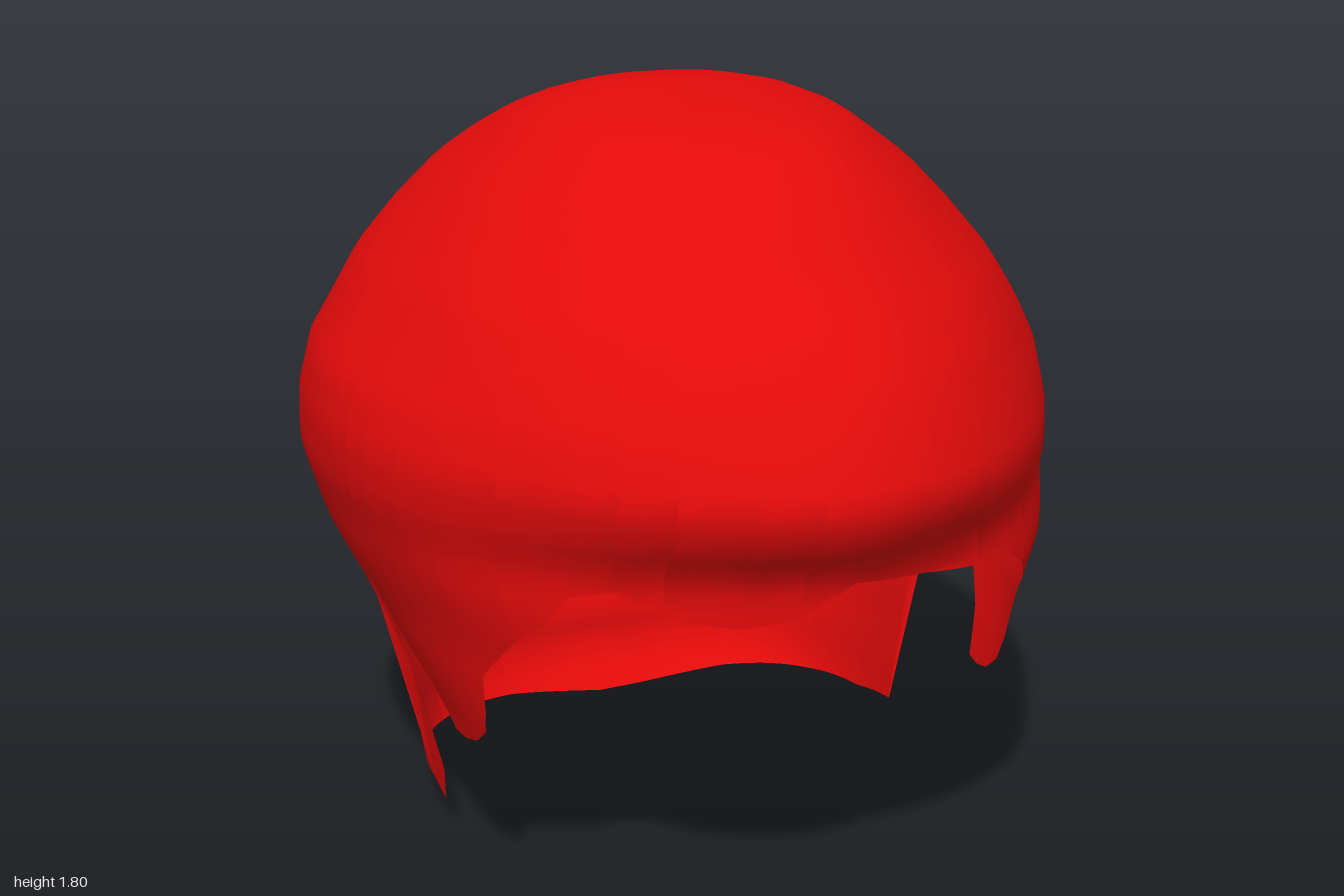
import * as THREE from 'three';
import { mergeVertices } from 'three/addons/utils/BufferGeometryUtils.js';

const CZ = -0.1; // z of the axis all sections are measured from
const { clamp, lerp, smoothstep } = THREE.MathUtils;

// Sections from crown to nape: y, half width, reach forward, reach back, forward roundness, x shift
const SECTIONS = [
  [1.80, 0, 0, 0, 2, -0.02], [1.785, 0.2, 0.14, 0.14, 2, -0.02],
  [1.76, 0.30, 0.38, 0.22, 2, -0.01], [1.72, 0.39, 0.53, 0.34, 2, 0],
  [1.66, 0.47, 0.62, 0.48, 1.95, 0], [1.60, 0.55, 0.69, 0.57, 1.9, 0],
  [1.50, 0.65, 0.79, 0.66, 1.85, 0], [1.40, 0.735, 0.90, 0.74, 1.8, 0],
  [1.30, 0.795, 0.99, 0.795, 1.75, 0], [1.20, 0.85, 1.05, 0.84, 1.72, -0.005],
  [1.09, 0.875, 1.10, 0.875, 1.72, -0.005], [1.00, 0.88, 1.07, 0.89, 1.72, 0],
  [0.95, 0.875, 1.02, 0.895, 1.75, 0], [0.90, 0.865, 0.98, 0.90, 1.8, 0.01],
  [0.80, 0.84, 0.98, 0.90, 1.9, 0.02], [0.65, 0.76, 0.95, 0.87, 2.1, 0.015],
  [0.40, 0.67, 0.85, 0.82, 2.7, 0.03], [0.20, 0.635, 0.80, 0.745, 2.7, 0.03],
  [0.09, 0.62, 0.80, 0.75, 2.7, 0.03], [0, 0.60, 0.75, 0.66, 2.7, 0.03],
];

// Hem as z, y from brow to nape: brow, sideburn, ear notch, neck curtain
const SIDEBURN = [[0.62, 0.78], [0.55, 0.72], [0.43, 0.6], [0.4, 0.5], [0.37, 0.44], [0.3, 0.39],
  [0.23, 0.37], [0.17, 0.37], [0.12, 0.48], [0.05, 0.55], [0.01, 0.62]];
const NAPE = [[-0.4, 0.07], [-0.6, 0.05], [-0.75, 0.03]];
const HEM = {
  left: [[0.85, 0.88], [0.77, 0.85], [0.68, 0.83], ...SIDEBURN,
    [0, 0.7], [-0.05, 0.73], [-0.14, 0.7], [-0.19, 0.65], [-0.22, 0.55], [-0.23, 0.1], ...NAPE],
  right: [[0.87, 0.82], [0.84, 0.80], [0.78, 0.82], [0.72, 0.87], [0.66, 0.85], ...SIDEBURN,
    [-0.02, 0.66], [-0.1, 0.66], [-0.13, 0.6], [-0.16, 0.1], ...NAPE],
};

// Section at a height, with the roundness of the front and back on one side
function section(y, side) {
  let i = 0;
  while (i < SECTIONS.length - 2 && SECTIONS[i + 1][0] > y) i++;
  const a = SECTIONS[i], b = SECTIONS[i + 1];
  const t = clamp((a[0] - y) / (a[0] - b[0]), 0, 1);
  const [w, front, back, p, shift] = [1, 2, 3, 4, 5].map(k => lerp(a[k], b[k], t));
  const low = 1 - smoothstep(y, 0.3, 1.0);
  return {
    w, front, back, shift,
    frontRound: p + (side < 0 ? 0.14 : 0),
    backRound: side > 0 ? 2.25 + 0.95 * low : 2.08 + 0.3 * low,
  };
}

// Angle around the head, 0 at the brow and PI at the nape
function angleAt(z, y, side) {
  const s = section(y, side), d = z - CZ;
  const u = Math.min(1, Math.abs(d) / (d > 0 ? s.front : s.back));
  return Math.acos(Math.sign(d) * Math.pow(u, (d > 0 ? s.frontRound : s.backRound) / 2));
}

function surfacePoint(angle, side, y) {
  const s = section(y, side), c = Math.cos(angle), forward = c > 0;
  const e = 2 / (forward ? s.frontRound : s.backRound);
  const reach = forward ? s.front : s.back;
  // gentle hand-shaped unevenness
  const a = angle * side;
  const r = 1 + 0.008 * Math.sin(5 * a + 4 * y) * Math.sin(7 * y + 2 * a);
  const browShift = forward ? 0.05 * c ** 4 * s.front : 0;
  return [
    side * s.w * Math.pow(Math.max(0, Math.sin(angle)), e) * r + s.shift + browShift,
    y,
    CZ + Math.sign(c) * reach * Math.pow(Math.abs(c), e) * Math.min(r, 1),
  ];
}

// Columns of one side, each with its angle and hem height
function columns(points, side) {
  const hem = [[0, 0.89], ...points.map(([z, y]) => [angleAt(z, y, side), y]), [Math.PI, 0]];
  const angles = hem.map(h => h[0]);
  for (let i = 1; i < 48; i++) angles.push(Math.PI * i / 48);
  angles.sort((a, b) => a - b);
  return angles.map(angle => {
    let i = 0;
    while (i < hem.length - 2 && hem[i + 1][0] < angle) i++;
    const [a0, y0] = hem[i], [a1, y1] = hem[i + 1];
    return { angle, side, hem: lerp(y0, y1, clamp((angle - a0) / Math.max(1e-6, a1 - a0), 0, 1)) };
  });
}

function makeGeometry(positions, index) {
  let g = new THREE.BufferGeometry();
  g.setAttribute('position', new THREE.Float32BufferAttribute(positions, 3));
  g.setIndex(index);
  g = mergeVertices(g, 1e-5);
  g.computeVertexNormals();
  return g;
}

export function createModel() {
  const group = new THREE.Group();
  group.name = 'hair';
  const red = new THREE.MeshStandardMaterial({ color: 0xe30a0a, side: THREE.DoubleSide });
  red.name = 'red';

  // Open shell: level rows from the crown down, each column stopping at its hem
  const ring = [...columns(HEM.left, 1), ...columns(HEM.right, -1).reverse().slice(1, -1)];
  const rows = 50, n = ring.length, positions = [], index = [];
  for (let j = 0; j <= rows; j++) {
    const level = 1.8 * (1 - Math.pow(j / rows, 1.5));
    for (const col of ring) {
      positions.push(...surfacePoint(col.angle, col.side, Math.max(level, col.hem)));
    }
  }
  for (let j = 0; j < rows; j++) {
    for (let i = 0; i < n; i++) {
      const a = j * n + i, b = j * n + (i + 1) % n, c = a + n, d = b + n;
      if (j > 0) index.push(a, c, b);
      index.push(b, c, d);
    }
  }
  const shell = new THREE.Mesh(makeGeometry(positions, index), red);
  shell.name = 'hairShell';
  group.add(shell);

  // Loose lock at the front edge of the right neck curtain
  const lock = [[-0.17, 0.42], [-0.17, 0.1], [-0.07, 0.08], [-0.02, 0.18], [-0.11, 0.32]]
    .flatMap(([z, y]) => surfacePoint(angleAt(z, y, -1), -1, y));
  const looseLock = new THREE.Mesh(makeGeometry(lock, [0, 1, 2, 0, 2, 3, 0, 3, 4]), red);
  looseLock.name = 'looseLock';
  group.add(looseLock);

  return group;
}
